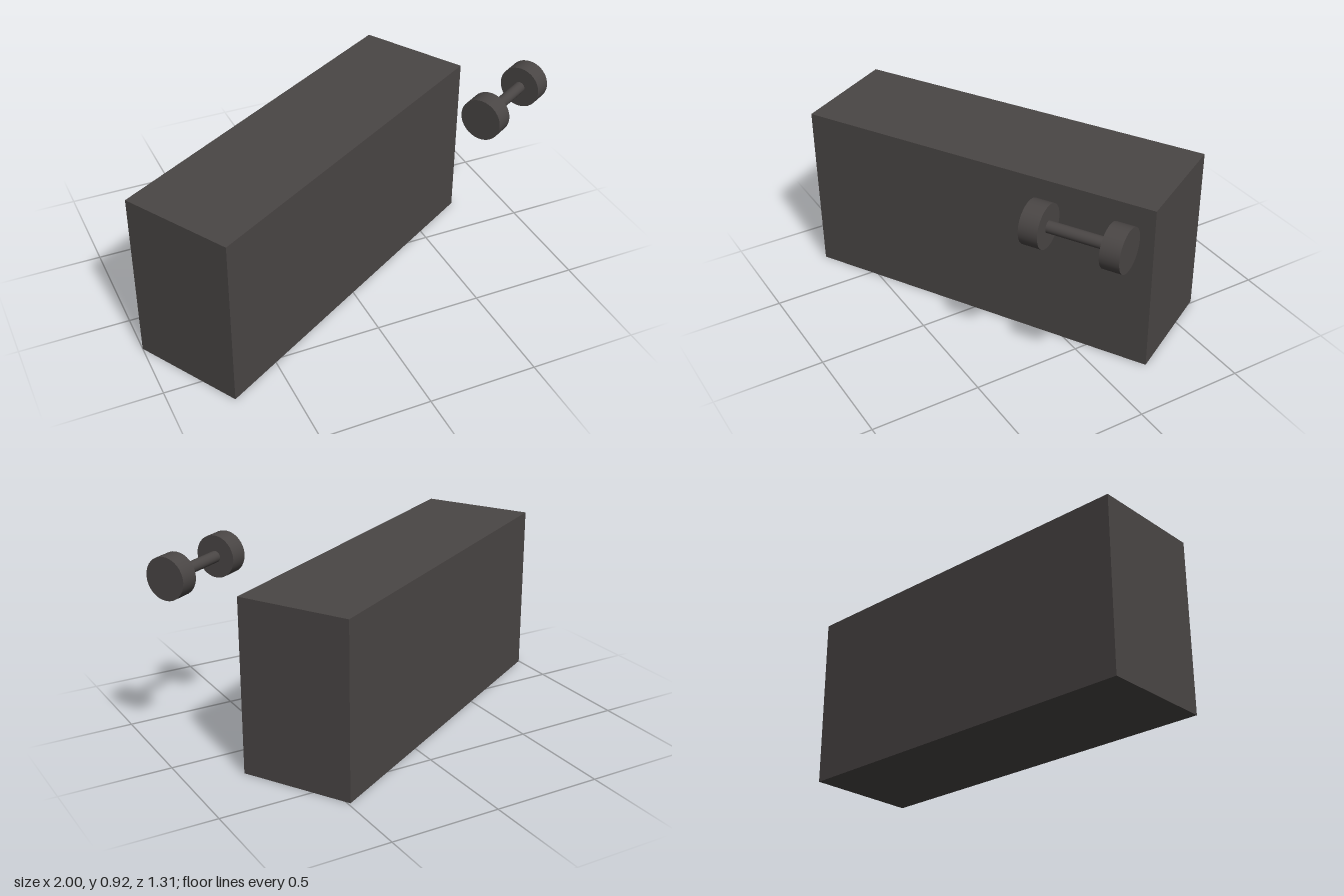
import * as THREE from 'three';

export function createModel() {
  const model = new THREE.Group();
  const charcoal = new THREE.MeshStandardMaterial({ color: 0x4a4645 });
  charcoal.name = 'charcoal';
  const yaw = Math.PI / 6;

  // Large block standing on the ground, turned 30 degrees
  const block = new THREE.Mesh(new THREE.BoxGeometry(1.72, 0.8, 0.525), charcoal);
  block.name = 'block';
  block.position.set(-0.124, 0.4, 0);
  block.rotation.y = yaw;
  model.add(block);

  // Dumbbell floating beside the block, parallel to it
  const dumbbell = new THREE.Group();
  dumbbell.name = 'dumbbell';
  dumbbell.position.set(0.762, 0.826, 0.184);
  dumbbell.rotation.y = yaw;
  model.add(dumbbell);

  const addCylinder = (name, radius, length, x) => {
    const mesh = new THREE.Mesh(new THREE.CylinderGeometry(radius, radius, length, 32), charcoal);
    mesh.name = name;
    mesh.rotation.z = Math.PI / 2;
    mesh.position.x = x;
    dumbbell.add(mesh);
  };

  const halfLength = 0.217, headLength = 0.085;
  addCylinder('handle', 0.026, 2 * (halfLength - headLength) + 0.02, 0);
  for (const side of [-1, 1]) {
    addCylinder(side > 0 ? 'leftWeight' : 'rightWeight', 0.096, headLength, side * (halfLength - headLength / 2));
  }

  return model;
}
